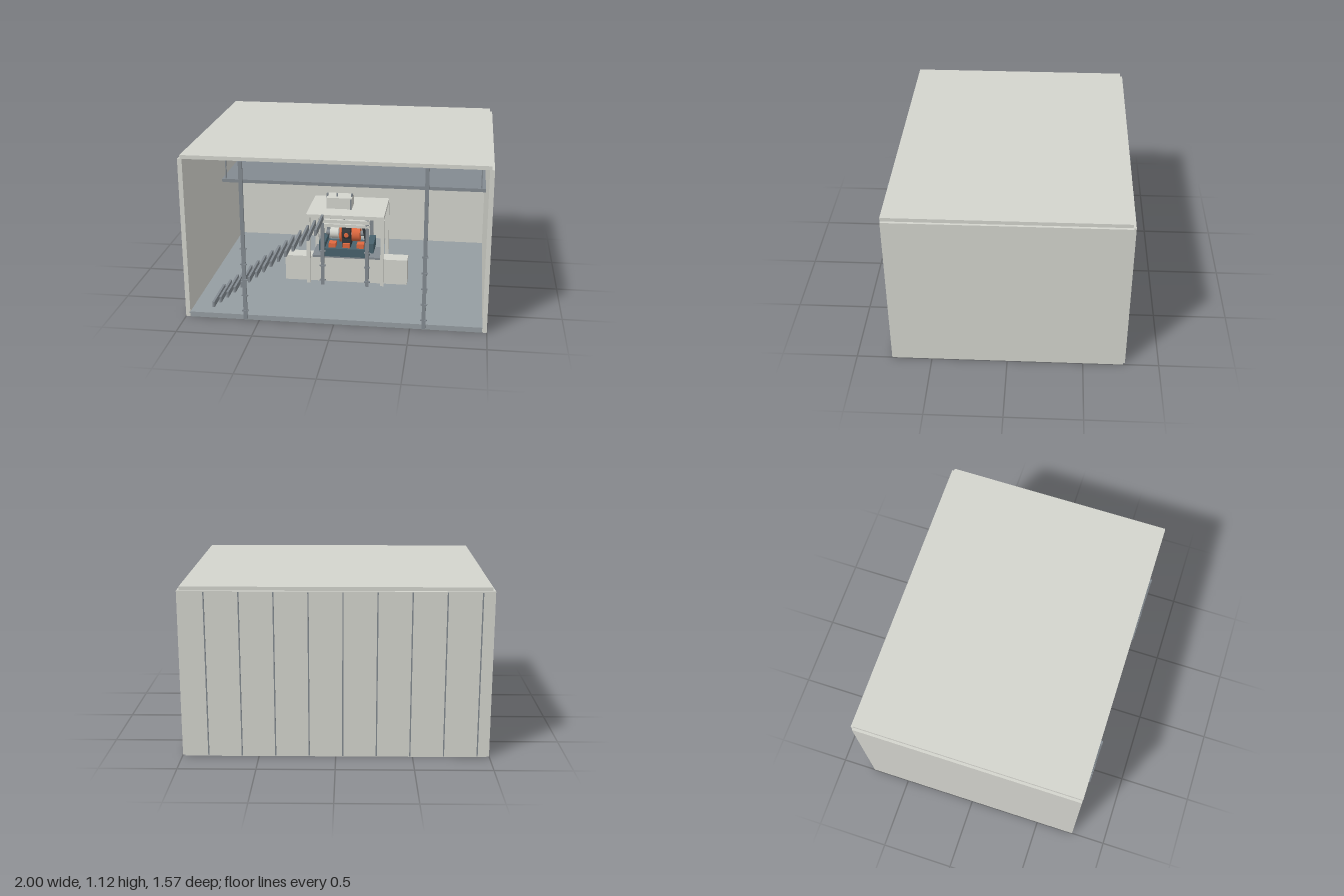
import * as THREE from 'three';

const mat = (color) => new THREE.MeshStandardMaterial({ color });
const WALL = mat(0xd3d4cd), FLOOR = mat(0x959da1), STEEL = mat(0x838a90);
const BLUE = mat(0x48626d), ORANGE = mat(0xe0693f), DARK = mat(0x34383b);

// Box given by its extents on each axis
function box(parent, name, [x0, x1], [y0, y1], [z0, z1], material) {
  const mesh = new THREE.Mesh(new THREE.BoxGeometry(x1 - x0, y1 - y0, z1 - z0), material);
  mesh.position.set((x0 + x1) / 2, (y0 + y1) / 2, (z0 + z1) / 2);
  mesh.name = name;
  parent.add(mesh);
  return mesh;
}

// Cylinder lying along x
function drum(parent, name, x, y, z, radius, width, material) {
  const mesh = new THREE.Mesh(new THREE.CylinderGeometry(radius, radius, width, 32), material);
  mesh.rotation.z = Math.PI / 2;
  mesh.position.set(x, y, z);
  mesh.name = name;
  parent.add(mesh);
}

function group(parent, name) {
  const g = new THREE.Group();
  g.name = name;
  parent.add(g);
  return g;
}

// Column with a flange and collars at regular heights
function column(parent, name, x, z, y0, y1, collars) {
  const g = group(parent, name);
  box(g, 'web', [x - 0.0125, x + 0.0125], [y0, y1], [z - 0.008, z + 0.006], STEEL);
  for (const y of collars)
    box(g, 'collar', [x - 0.021, x + 0.021], [y - 0.004, y + 0.004], [z - 0.008, z + 0.008], STEEL);
}

function buildHall(root) {
  const hall = group(root, 'hall');
  box(hall, 'floor', [-0.975, 0.975], [0, 0.035], [-0.765, 0.765], FLOOR);
  for (const s of [-1, 1])
    box(hall, 'sideWall', [s * 0.985 - 0.015, s * 0.985 + 0.015], [0, 1.1], [-0.765, 0.765], WALL);
  box(hall, 'backWall', [-0.983, 0.983], [0, 1.1], [-0.779, -0.755], WALL);
  box(hall, 'roof', [-0.983, 0.983], [1.1, 1.125], [-0.76, 0.767], WALL);
  // Cover strips over the back panel joints
  for (let i = 0; i < 9; i++) {
    const x = -0.92 + i * 0.2185;
    box(hall, 'panelJoint', [x - 0.004, x + 0.004], [0.005, 1.095], [-0.783, -0.778], STEEL);
  }
  for (const s of [-1, 1])
    column(hall, 'frontColumn', s * 0.59, 0.774, 0.01, 1.1, [0.07, 0.18, 0.29, 0.4, 0.51]);
}

function buildGallery(root) {
  const gallery = group(root, 'gallery');
  box(gallery, 'deck', [-0.97, 0.97], [0.64, 0.665], [-0.755, -0.2], STEEL);
  box(gallery, 'handrail', [-0.945, 0.945], [0.88, 0.89], [-0.215, -0.205], STEEL);
  for (const s of [-1, 1])
    box(gallery, 'railPost', [s * 0.94 - 0.004, s * 0.94 + 0.004], [0.665, 0.885], [-0.215, -0.205], STEEL);
  const stairs = group(root, 'stairs');
  for (let i = 0; i < 15; i++) {
    const x = -0.833 + i * 0.0502, y = 0.055 + i * 0.0393;
    box(stairs, 'step', [x - 0.0075, x + 0.0075], [y - 0.02, y + 0.02], [0.38, 0.68], STEEL);
  }
}

function buildCanopy(root) {
  const canopy = group(root, 'canopy');
  box(canopy, 'canopyRoof', [-0.275, 0.272], [0.53, 0.555], [-0.23, 0.19], WALL);
  for (const s of [-1, 1])
    for (const z of [-0.215, 0.175])
      box(canopy, 'canopyLeg', [s * 0.262 - 0.0125, s * 0.262 + 0.0125], [0.035, 0.53], [z - 0.0125, z + 0.0125], WALL);
  // Cabinet on top, carried by a thin pipe at its side
  box(canopy, 'roofCabinet', [-0.15, 0.03], [0.555, 0.635], [-0.07, 0.05], WALL);
  for (const x of [-0.15, -0.08, 0.025])
    box(canopy, 'cabinetClip', [x - 0.005, x + 0.005], [0.62, 0.655], [-0.01, 0.01], STEEL);
  box(canopy, 'downPipe', [0.02, 0.03], [0.4, 0.63], [0.05, 0.06], STEEL);
}

function buildMachine(root) {
  const machine = group(root, 'machine');
  // Plinth and table
  box(machine, 'plinth', [-0.437, 0.437], [0.035, 0.22], [0.03, 0.14], WALL);
  box(machine, 'tableTop', [-0.24, 0.245], [0.22, 0.235], [-0.06, 0.15], STEEL);
  // Guide columns with cross beams
  for (const s of [-1, 1])
    for (const z of [-0.1, 0.205])
      column(machine, 'guideColumn', s * 0.158, z, 0.035, 0.53, [0.07, 0.18, 0.29, 0.51]);
  for (const z of [-0.1, 0.205]) {
    box(machine, 'upperBeam', [-0.175, 0.175], [0.505, 0.53], [z - 0.012, z + 0.012], WALL);
    box(machine, 'lowerBeam', [-0.175, 0.175], [0.475, 0.497], [z - 0.012, z + 0.006], WALL);
  }
  // Trough
  box(machine, 'trough', [-0.165, 0.165], [0.23, 0.29], [-0.05, 0.15], BLUE);
  for (const s of [-1, 1])
    box(machine, 'troughEnd', [s * 0.173 - 0.023, s * 0.173 + 0.023], [0.26, 0.33], [-0.05, 0.13], BLUE);
  for (const x of [-0.1, 0, 0.1])
    box(machine, 'foot', [x - 0.025, x + 0.025], [0.29, 0.322], [0.07, 0.13], ORANGE);
  // Drums on a shaft around the dark housing
  box(machine, 'housing', [-0.033, 0.03], [0.29, 0.47], [0, 0.11], DARK);
  drum(machine, 'housingCap', 0, 0.39, 0.06, 0.06, 0.055, DARK);
  drum(machine, 'shaft', 0, 0.38, 0.06, 0.018, 0.3, STEEL);
  drum(machine, 'thinDrum', -0.043, 0.38, 0.06, 0.065, 0.014, ORANGE);
  drum(machine, 'hub', -0.09, 0.38, 0.06, 0.04, 0.06, WALL);
  drum(machine, 'wideDrum', 0.065, 0.38, 0.06, 0.055, 0.06, ORANGE);
  const dial = new THREE.Mesh(new THREE.CylinderGeometry(0.016, 0.016, 0.01, 24), ORANGE);
  dial.rotation.x = Math.PI / 2;
  dial.position.set(0, 0.385, 0.122);
  dial.name = 'dial';
  machine.add(dial);
  // Bent hose from the housing to the trough
  const path = new THREE.CatmullRomCurve3([[0.01, 0.475, 0.08], [0.06, 0.468, 0.08], [0.11, 0.44, 0.08], [0.13, 0.37, 0.08], [0.145, 0.28, 0.08]]
    .map((p) => new THREE.Vector3(...p)));
  const hose = new THREE.Mesh(new THREE.TubeGeometry(path, 32, 0.01, 12), DARK);
  hose.name = 'hose';
  machine.add(hose);
}

export function createModel() {
  const root = new THREE.Group();
  root.name = 'machineHall';
  buildHall(root);
  buildGallery(root);
  buildCanopy(root);
  buildMachine(root);
  return root;
}
